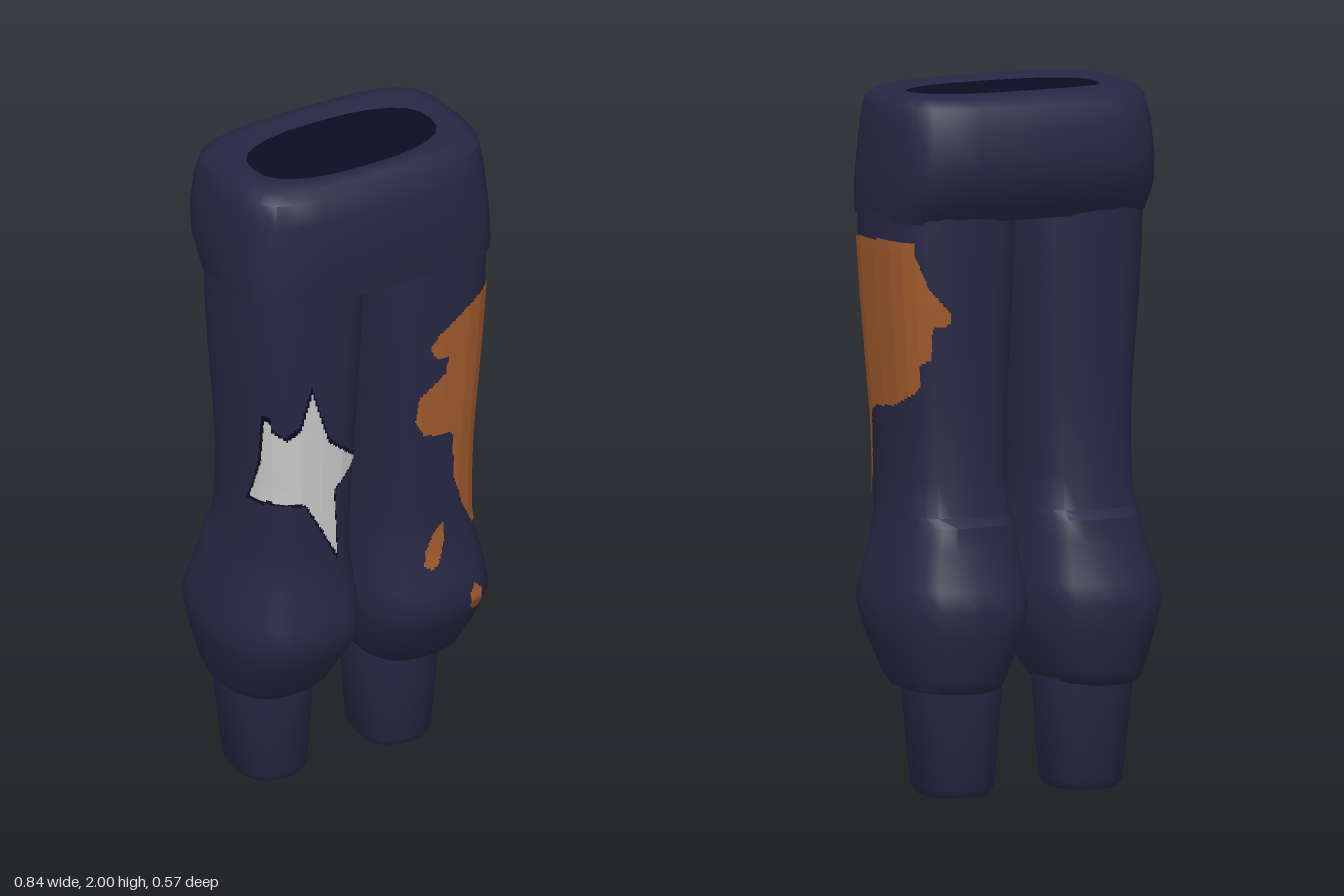
import * as THREE from 'three';
import { mergeVertices, toCreasedNormals } from 'three/addons/utils/BufferGeometryUtils.js';

const SEG = 24;
const mat = (name, color) => new THREE.MeshStandardMaterial({ name, color });

// Section rows: [y, xMin, xMax, zBack, zFront, squareness]
const LEG = [
  [0.295, 0.12, 0.31, -0.19, 0.09, 2.6],
  [0.31, 0.08, 0.355, -0.22, 0.13, 2.6],
  [0.34, 0.062, 0.37, -0.235, 0.165, 2.6],
  [0.46, 0.012, 0.405, -0.262, 0.24, 2.7],
  [0.54, 0.003, 0.418, -0.283, 0.275, 2.8],
  [0.6, 0.006, 0.408, -0.265, 0.265, 2.8],
  [0.71, 0.022, 0.38, -0.225, 0.245, 2.8],
  [0.775, 0.028, 0.368, -0.218, 0.24, 2.8],
  [0.8, 0.032, 0.363, -0.185, 0.24, 2.8],
  [0.9, 0.035, 0.358, -0.172, 0.245, 2.8],
  [1.05, 0.032, 0.36, -0.165, 0.252, 2.8],
  [1.2, 0.024, 0.37, -0.162, 0.26, 2.9],
  [1.4, 0.014, 0.385, -0.168, 0.268, 3],
  [1.55, 0.007, 0.394, -0.172, 0.276, 3],
  [1.66, 0.003, 0.396, -0.172, 0.276, 3],
];
const CUFF = [
  [0.0, 0.145, 0.255, -0.1, 0.01, 2],
  [0.0, 0.11, 0.29, -0.155, 0.055, 2.6],
  [0.025, 0.092, 0.31, -0.172, 0.07, 2.6],
  [0.32, 0.073, 0.338, -0.2, 0.09, 2.6],
];
const HIPS = [
  [1.635, 0, 0, 0.05, 0.05, 5],
  [1.635, -0.394, 0.394, -0.165, 0.276, 5],
  [1.67, -0.397, 0.397, -0.19, 0.279, 5],
  [1.72, -0.401, 0.401, -0.228, 0.284, 4.6],
  [1.8, -0.4, 0.4, -0.25, 0.285, 4.2],
  [1.9, -0.393, 0.393, -0.242, 0.276, 4],
  [1.965, -0.386, 0.386, -0.22, 0.264, 3.8],
  [1.99, -0.36, 0.36, -0.195, 0.24, 3.5],
  [2.0, -0.33, 0.33, -0.155, 0.215, 3.1],
  [1.985, -0.29, 0.29, -0.11, 0.175, 2.5],
];

// Rounded-box point on one section; side -1 places it on the right
function corner(row, j, side) {
  const [y, x0, x1, zb, zf, n] = row;
  const t = (j / SEG) * Math.PI * 2;
  const pow = (v) => (Math.abs(v) < 1e-9 ? 0 : Math.sign(v) * Math.abs(v) ** (2 / n));
  return new THREE.Vector3(
    (side * (x0 + x1)) / 2 + ((x1 - x0) / 2) * pow(Math.cos(t)), y,
    (zb + zf) / 2 + ((zf - zb) / 2) * pow(Math.sin(t)));
}

function quadGeometry(quads) {
  const pos = [];
  for (const [a, b, c, d] of quads) for (const p of [a, d, c, a, c, b]) pos.push(p.x, p.y, p.z);
  const g = new THREE.BufferGeometry();
  g.setAttribute('position', new THREE.Float32BufferAttribute(pos, 3));
  return g;
}

function loft(rows, side = 1) {
  const quads = [];
  for (let i = 0; i < rows.length - 1; i++) for (let j = 0; j < SEG; j++) {
    const k = (j + 1) % SEG;
    quads.push([corner(rows[i], j, side), corner(rows[i], k, side),
      corner(rows[i + 1], k, side), corner(rows[i + 1], j, side)]);
  }
  return toCreasedNormals(quadGeometry(quads), 0.75);
}

// Flat dark opening filling one section
function opening(row, side, y, up) {
  const flat = [y, ...row.slice(1)];
  const mid = [y, (row[1] + row[2]) / 2, (row[1] + row[2]) / 2, (row[3] + row[4]) / 2, (row[3] + row[4]) / 2, 2];
  return loft(up ? [flat, mid] : [mid, flat], side);
}

// Point on the leg skin, lifted slightly outwards
function legPoint(s, y, side, lift) {
  let i = 0;
  while (i < LEG.length - 2 && LEG[i + 1][0] < y) i++;
  const f = (y - LEG[i][0]) / (LEG[i + 1][0] - LEG[i][0]);
  const at = (j) => corner(LEG[i], j, side).lerp(corner(LEG[i + 1], j, side), f);
  const j = Math.floor(s);
  const p = at(j).lerp(at(j + 1), s - j);
  const row = LEG[i];
  const out = new THREE.Vector3(p.x - (side * (row[1] + row[2])) / 2, 0, p.z - (row[3] + row[4]) / 2).normalize();
  return p.addScaledVector(out, lift);
}

function inside(poly, x, y) {
  let hit = false;
  for (let i = 0, j = poly.length - 1; i < poly.length; j = i++) {
    const [ax, ay] = poly[i], [bx, by] = poly[j];
    if (ay > y !== by > y && x < ((bx - ax) * (y - ay)) / (by - ay) + ax) hit = !hit;
  }
  return hit;
}

// Thin painted skin: the cells of the leg that fall inside the given outlines
function paint(side, lift, yLow, yHigh, outlines) {
  const quads = [], per = 12, dy = 0.007;
  for (let y = yLow; y < yHigh; y += dy) for (let c = 0; c < SEG * per; c++) {
    const s = c / per, e = (c + 1) / per;
    const t = ((s + e) / 2 / SEG) * Math.PI * 2;
    const m = legPoint((s + e) / 2, y + dy / 2, side, 0);
    const outer = side * Math.cos(t) > Math.abs(Math.sin(t));
    const polys = (outer ? outlines.outer : Math.sin(t) > 0 ? outlines.front : outlines.back) || [];
    if (!polys.some((q) => inside(q, outer ? m.z : m.x, m.y))) continue;
    quads.push([legPoint(s, y, side, lift), legPoint(e, y, side, lift),
      legPoint(e, y + dy, side, lift), legPoint(s, y + dy, side, lift)]);
  }
  const g = mergeVertices(quadGeometry(quads), 1e-5);
  g.computeVertexNormals();
  return g;
}

// Stain and drips: front and back in (x, y), outer side in (z, y)
const STAIN = {
  front: [
    [[0.5, 1.57], [0.39, 1.56], [0.275, 1.5], [0.18, 1.43], [0.153, 1.39], [0.17, 1.355], [0.21, 1.35],
      [0.205, 1.3], [0.125, 1.235], [0.115, 1.155], [0.14, 1.105], [0.23, 1.095], [0.24, 0.94],
      [0.275, 0.835], [0.32, 0.757], [0.5, 0.77]],
    [[0.21, 0.81], [0.21, 0.75], [0.19, 0.68], [0.165, 0.665], [0.145, 0.68], [0.15, 0.72], [0.18, 0.78]],
    [[0.3, 0.59], [0.325, 0.565], [0.327, 0.51], [0.305, 0.5], [0.28, 0.52], [0.28, 0.56]],
  ],
  outer: [[[0.4, 1.54], [0.24, 1.55], [0.19, 1.57], [0, 1.58], [-0.14, 1.58], [-0.4, 1.57], [-0.4, 1.21],
    [-0.15, 1.21], [-0.1, 1.15], [-0.02, 1.11], [0.1, 1.095], [0.14, 1.07], [0.145, 0.92], [0.165, 0.81],
    [0.21, 0.765], [0.24, 0.8], [0.4, 0.82]]],
  back: [[[0.5, 1.57], [0.36, 1.565], [0.32, 1.45], [0.26, 1.38], [0.26, 1.35], [0.31, 1.34], [0.31, 1.25],
    [0.34, 1.23], [0.35, 1.2], [0.5, 1.2]]],
};
// Star wrapping around the outer front corner of the right leg
const STAR = {
  front: [[[-0.233, 1.355], [-0.18, 1.185], [-0.075, 1.09], [-0.155, 1.02], [-0.14, 0.8], [-0.245, 0.995],
    [-0.33, 1.0], [-0.5, 0.98], [-0.5, 1.29], [-0.36, 1.26], [-0.3, 1.21], [-0.265, 1.24]]],
  outer: [[[0.35, 1.25], [0.2, 1.27], [0.18, 1.13], [0.13, 1.0], [0.35, 1.01]]],
};
const grow = (polys, k, cx, cy) => polys.map((q) => q.map(([x, y]) => [cx + (x - cx) * k, cy + (y - cy) * k]));
const STAR_EDGE = { front: grow(STAR.front, 1.09, -0.23, 1.09), outer: grow(STAR.outer, 1.12, 0.25, 1.12) };

export function createModel() {
  const navy = mat('navy cloth', 0x272744);
  const dark = mat('dark lining', 0x0c0c22);
  const rust = mat('rust stain', 0xa05a2c);
  const pale = mat('pale star', 0xcacaca);
  const model = new THREE.Group();
  model.name = 'trousers';
  const add = (name, geometry, material) => {
    const m = new THREE.Mesh(geometry, material);
    m.name = name;
    model.add(m);
  };

  // Waist and seat
  add('hips', loft(HIPS), navy);
  add('waistOpening', opening(HIPS[HIPS.length - 1], 1, 1.985, true), dark);

  // Legs with gathered knees and narrow cuffs
  for (const [side, name] of [[1, 'left'], [-1, 'right']]) {
    add(name + 'Leg', loft(LEG, side), navy);
    add(name + 'LegUnderside', opening(LEG[0], side, LEG[0][0], false), navy);
    add(name + 'Cuff', loft(CUFF, side), navy);
    add(name + 'CuffOpening', opening(CUFF[0], side, 0.001, false), dark);
  }

  // Painted details
  add('stain', paint(1, 0.005, 0.49, 1.6, STAIN), rust);
  add('starOutline', paint(-1, 0.004, 0.74, 1.42, STAR_EDGE), dark);
  add('star', paint(-1, 0.008, 0.74, 1.42, STAR), pale);
  return model;
}
